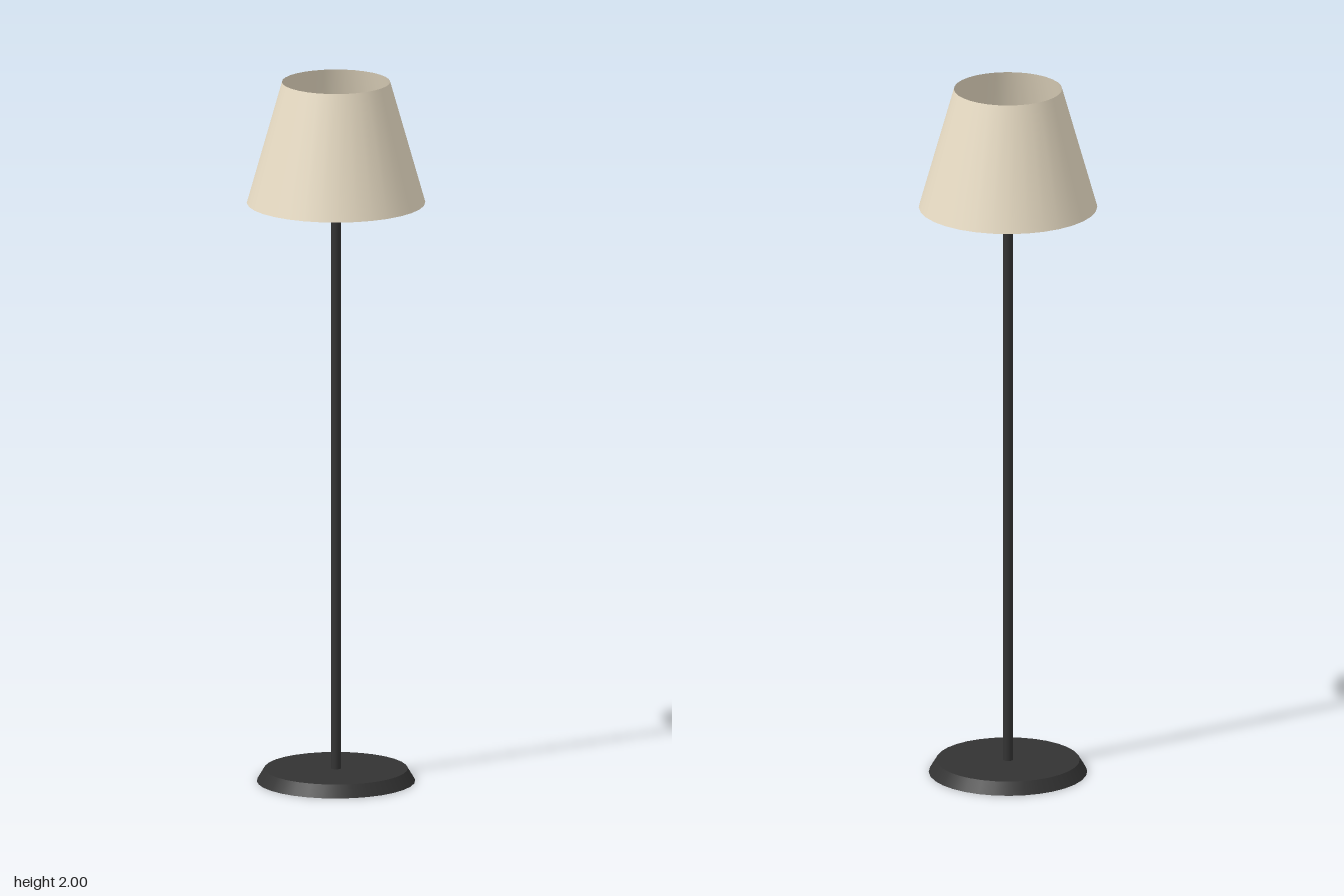
import * as THREE from 'three';

export function createModel() {
  const lamp = new THREE.Group();
  lamp.name = 'floorLamp';

  const metal = new THREE.MeshStandardMaterial({ color: 0x333333 });
  const fabric = new THREE.MeshStandardMaterial({ color: 0xe8dcc4, side: THREE.DoubleSide });

  // Round tapered part standing between two heights
  function addRound(name, rTop, rBottom, y0, y1, sides, material, open = false) {
    const geometry = new THREE.CylinderGeometry(rTop, rBottom, y1 - y0, sides, 1, open);
    const mesh = new THREE.Mesh(geometry, material);
    mesh.name = name;
    mesh.position.y = (y0 + y1) / 2;
    lamp.add(mesh);
  }

  // Weighted foot with a sloped rim
  addRound('base', 0.2, 0.221, 0, 0.035, 32, metal);
  // Slim upright ending just inside the shade
  addRound('pole', 0.014, 0.014, 0.02, 1.668, 16, metal);
  // Thin conical shade, open at both ends
  addRound('shade', 0.151, 0.249, 1.655, 2, 32, fabric, true);

  return lamp;
}
